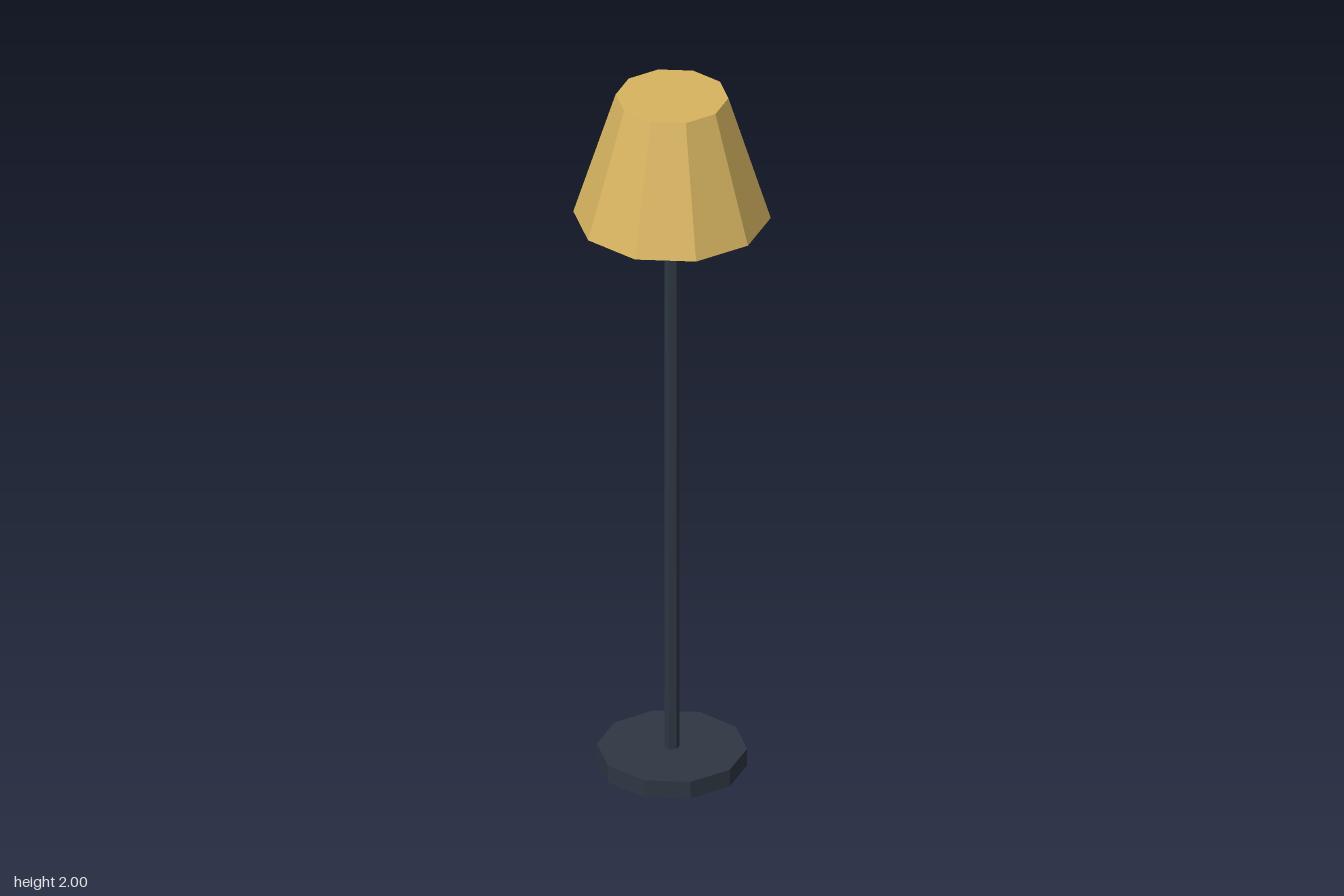
import * as THREE from 'three';

const makeMaterial = (name, color) => {
  const material = new THREE.MeshStandardMaterial({ color, flatShading: true });
  material.name = name;
  return material;
};

export function createModel() {
  const lamp = new THREE.Group();
  lamp.name = 'floorLamp';

  const darkMetal = makeMaterial('dark metal', 0x2d3743);
  const shadeCloth = makeMaterial('golden shade', 0xd8b460);
  const bulbGlass = makeMaterial('pale bulb', 0xe8deb4);

  const add = (name, geometry, material, y) => {
    const mesh = new THREE.Mesh(geometry, material);
    mesh.name = name;
    mesh.position.y = y;
    lamp.add(mesh);
    return mesh;
  };

  // Faceted prism or cone section standing between two heights
  const addTapered = (name, material, topRadius, bottomRadius, bottom, top, sides) =>
    add(name, new THREE.CylinderGeometry(topRadius, bottomRadius, top - bottom, sides),
      material, (bottom + top) / 2);

  // Ten-sided foot, slim hexagonal pole and closed shade
  addTapered('base', darkMetal, 0.197, 0.197, 0, 0.05, 10);
  addTapered('pole', darkMetal, 0.0198, 0.0198, 0.05, 1.6, 6);
  addTapered('shade', shadeCloth, 0.148, 0.259, 1.645, 2, 10);

  // Bulb peeking out below the shade
  const bulb = add('bulb', new THREE.IcosahedronGeometry(0.061, 0), bulbGlass, 1.61);
  bulb.rotation.y = Math.PI / 2;

  return lamp;
}
